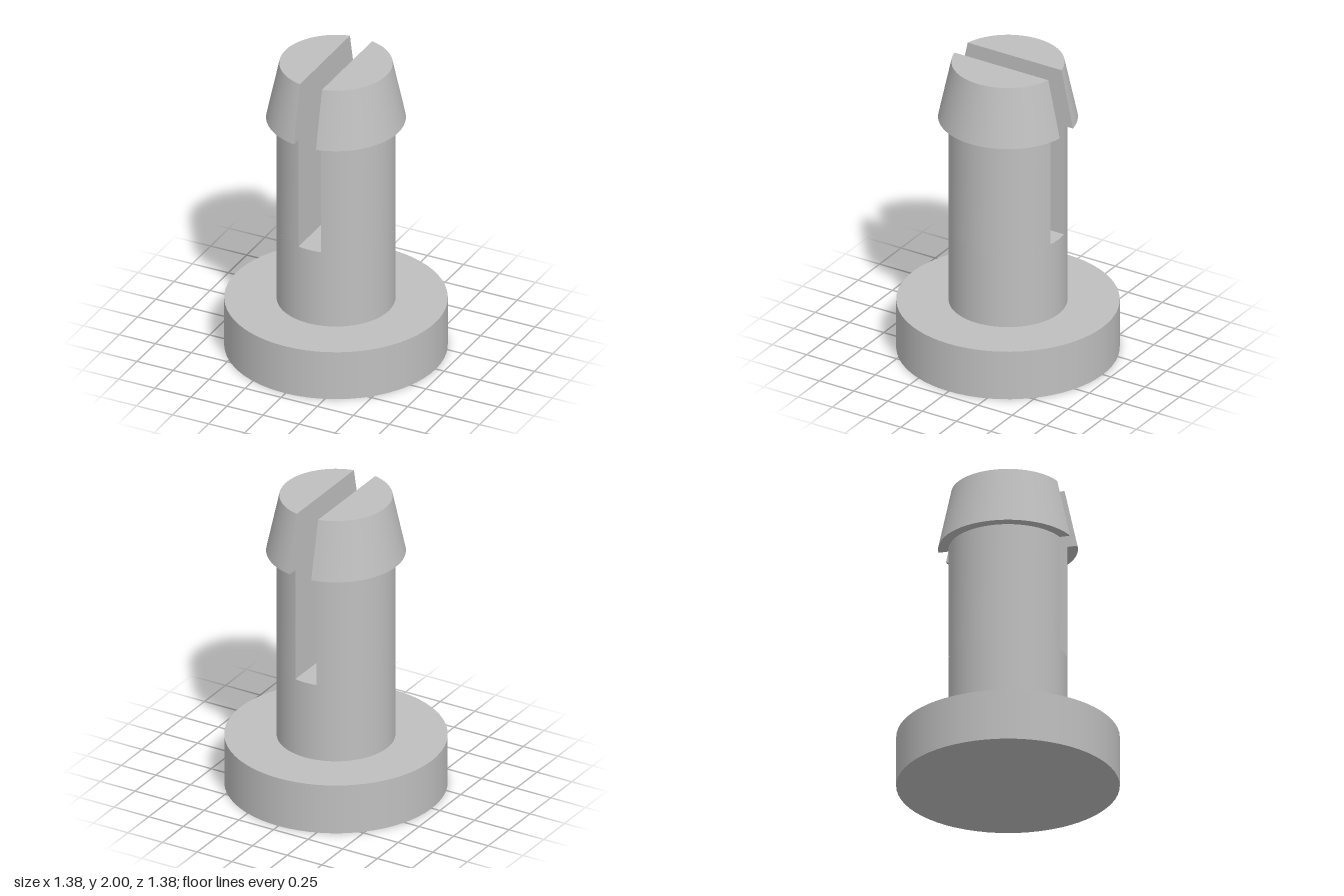
import * as THREE from 'three';
import { mergeGeometries } from 'three/addons/utils/BufferGeometryUtils.js';

const SEGMENTS = 64;
const SLOT_HALF = 0.077;
const SHAFT_RADIUS = 0.368;
const FLANGE_RADIUS = 0.692;
const FLANGE_TOP = 0.333;
const SLOT_FLOOR = 0.855;
// Prong outline as [radius, height]: straight stem, snap ledge, tapered head
const PRONG = [[SHAFT_RADIUS, SLOT_FLOOR], [SHAFT_RADIUS, 1.615], [0.433, 1.615], [0.351, 2]];

// Surface between two rows of points
function strip(lower, upper) {
  const geometry = new THREE.BufferGeometry().setFromPoints([...lower, ...upper]);
  const n = lower.length;
  const index = [];
  for (let j = 0; j < n - 1; j++) {
    index.push(j, n + j, j + 1, j + 1, n + j, n + j + 1);
  }
  geometry.setIndex(index);
  geometry.computeVertexNormals();
  return geometry;
}

// Arc of a circle on the +x side of the slot
function arc([radius, y]) {
  const limit = Math.acos(SLOT_HALF / radius);
  return Array.from({ length: SEGMENTS / 2 + 1 }, (_, j) => {
    const t = limit * (4 * j / SEGMENTS - 1);
    return new THREE.Vector3(radius * Math.cos(t), y, radius * Math.sin(t));
  });
}

function prongGeometry() {
  const rows = PRONG.map(arc);
  const ends = (row) => [row[row.length - 1], row[0]];
  const parts = [];
  for (let i = 0; i < rows.length - 1; i++) {
    parts.push(strip(rows[i], rows[i + 1]));
    // Flat slot wall, absent at the level ledge
    if (PRONG[i][1] !== PRONG[i + 1][1]) parts.push(strip(ends(rows[i]), ends(rows[i + 1])));
  }
  // Flat top
  const top = rows[rows.length - 1];
  parts.push(strip(top, top.map((p) => new THREE.Vector3(SLOT_HALF, p.y, p.z))));
  return mergeGeometries(parts);
}

export function createModel() {
  const group = new THREE.Group();
  group.name = 'snapPin';
  const grey = new THREE.MeshStandardMaterial({ color: 0xbfbfbf });
  grey.name = 'grey';

  const add = (name, geometry) => {
    const mesh = new THREE.Mesh(geometry, grey);
    mesh.name = name;
    group.add(mesh);
    return mesh;
  };
  const disc = (name, radius, bottom, top) => {
    const height = top - bottom;
    add(name, new THREE.CylinderGeometry(radius, radius, height, SEGMENTS)).position.y = bottom + height / 2;
  };

  // Base flange and solid lower shaft
  disc('flange', FLANGE_RADIUS, 0, FLANGE_TOP);
  disc('shaft', SHAFT_RADIUS, FLANGE_TOP, SLOT_FLOOR);

  // Two mirrored prongs separated by the slot
  const prong = prongGeometry();
  add('leftProng', prong);
  add('rightProng', prong).rotation.y = Math.PI;

  return group;
}
